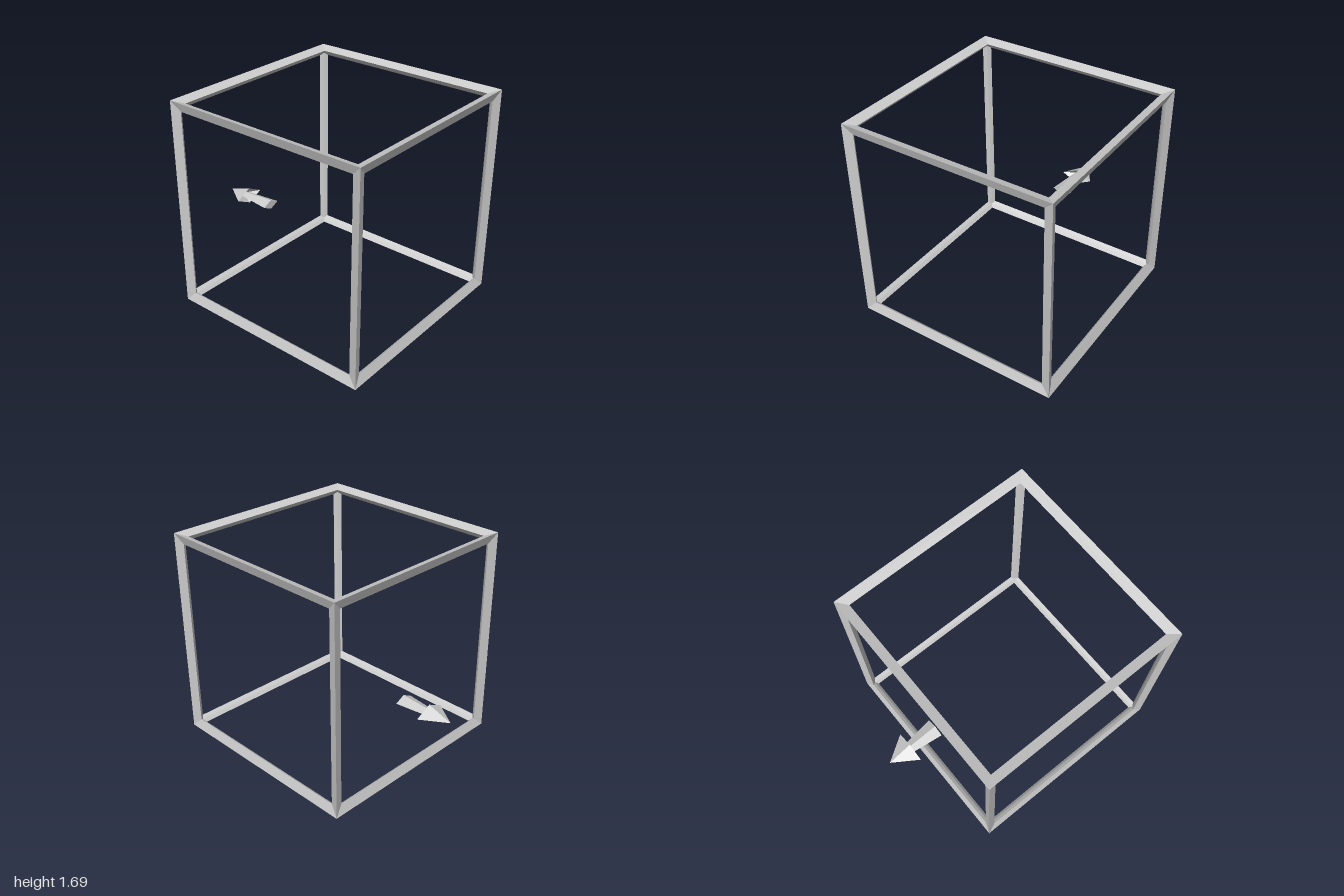
import * as THREE from 'three';

export function createModel() {
  const model = new THREE.Group();
  const material = new THREE.MeshStandardMaterial({
    color: 0xcccccc, flatShading: true, side: THREE.DoubleSide,
  });
  const lathe = (points, phiStart) =>
    new THREE.LatheGeometry(points.map(([r, y]) => new THREE.Vector2(r, y)), 4, phiStart);

  // Cube frame: each side is a mitred square rim, sloping in from the sharp
  // outer edge and folding back to the inner edge of the bars.
  const half = 0.845, width = 0.075, depth = 0.027;
  const rim = lathe([
    [half, half],
    [half - width, half - depth],
    [half - 2 * depth, half - 2 * depth],
  ].map(([r, y]) => [r * Math.SQRT2, y]), Math.PI / 4);

  const frame = new THREE.Group();
  frame.name = 'cubeFrame';
  const sides = {
    topRim: [0, 0], bottomRim: [Math.PI, 0],
    frontRim: [Math.PI / 2, 0], backRim: [-Math.PI / 2, 0],
    leftRim: [0, -Math.PI / 2], rightRim: [0, Math.PI / 2],
  };
  for (const [name, [rx, rz]] of Object.entries(sides)) {
    const mesh = new THREE.Mesh(rim, material);
    mesh.name = name;
    mesh.rotation.set(rx, 0, rz);
    frame.add(mesh);
  }
  frame.position.set(0, half, 0.155);
  model.add(frame);

  // Direction arrow: flattened diamond section, tapered shaft, hollow-backed head
  const arrow = lathe([
    [0, 0.55], [0.08, 0.55], [0.042, 0.85],
    [0.133, 0.798], [0, 1],
  ], 0);
  arrow.scale(1, 1, 0.5).rotateX(-Math.PI / 2);
  const arrowMesh = new THREE.Mesh(arrow, material);
  arrowMesh.name = 'directionArrow';
  arrowMesh.position.y = 0.552;
  model.add(arrowMesh);

  return model;
}
